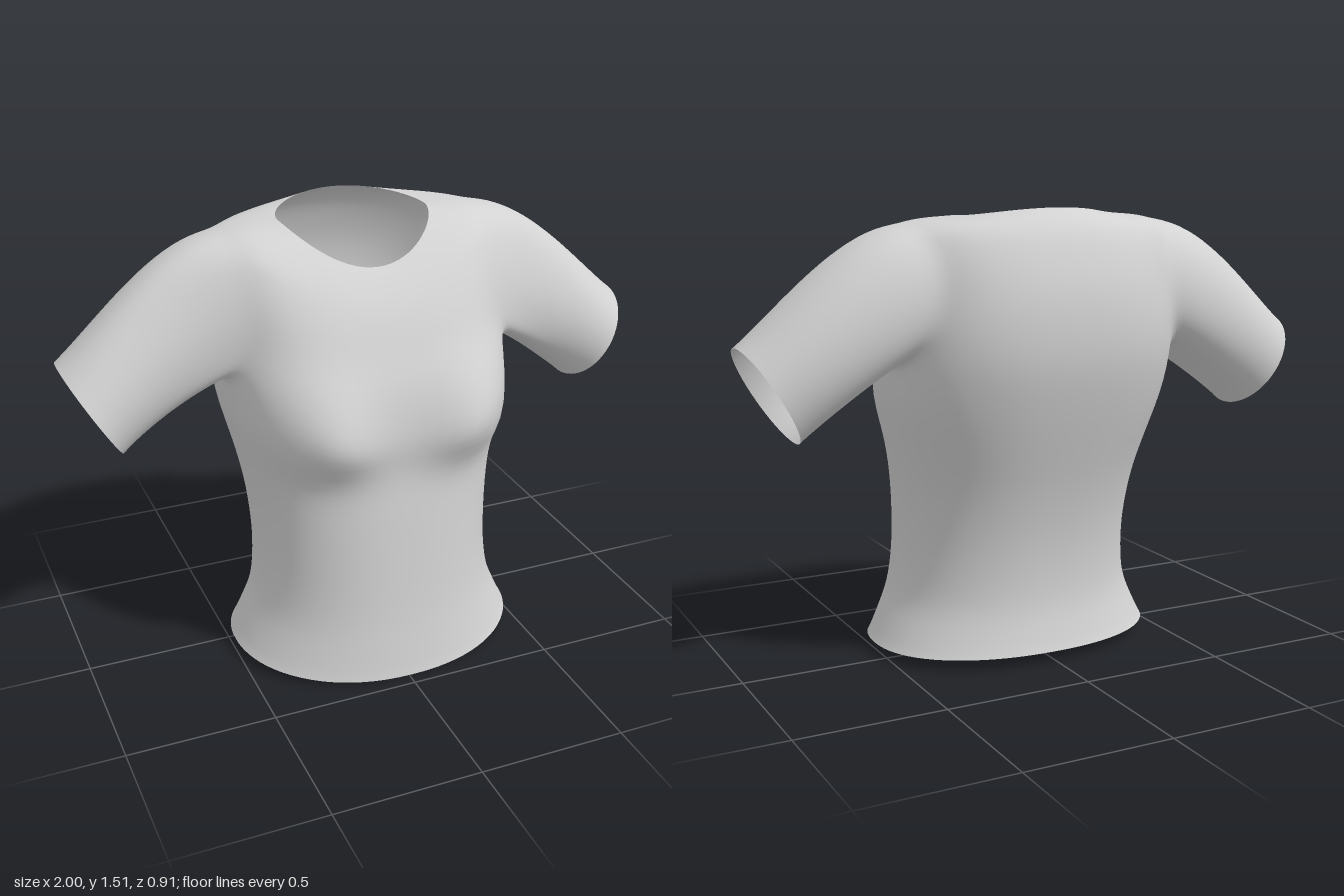
import * as THREE from 'three';
import { mergeVertices } from 'three/addons/utils/BufferGeometryUtils.js';

// Torso rings, hem to neckline:
// half width, z front, z side, z back, y front, y side, y back, roundness
const RINGS = [
  [0.505, 0.455, 0.07, -0.30, 0.00, 0.035, 0.04, 0.92],
  [0.472, 0.44, 0.07, -0.28, 0.09, 0.105, 0.11, 0.92],
  [0.430, 0.422, 0.07, -0.262, 0.20, 0.20, 0.20, 0.90],
  [0.412, 0.408, 0.06, -0.262, 0.32, 0.32, 0.32, 0.88],
  [0.410, 0.395, 0.05, -0.278, 0.45, 0.45, 0.45, 0.86],
  [0.422, 0.38, 0.03, -0.315, 0.60, 0.60, 0.60, 0.84],
  [0.450, 0.36, 0.00, -0.365, 0.75, 0.75, 0.75, 0.80],
  [0.482, 0.35, -0.03, -0.41, 0.88, 0.89, 0.89, 0.77],
  [0.490, 0.335, -0.06, -0.445, 1.02, 1.03, 1.03, 0.75],
  [0.488, 0.295, -0.08, -0.452, 1.13, 1.15, 1.16, 0.76],
  [0.482, 0.265, -0.08, -0.44, 1.20, 1.29, 1.27, 0.80],
  [0.475, 0.23, -0.09, -0.412, 1.26, 1.40, 1.36, 0.85],
  [0.445, 0.195, -0.09, -0.378, 1.305, 1.468, 1.435, 0.90],
  [0.350, 0.163, -0.085, -0.335, 1.34, 1.484, 1.485, 0.95],
  [0.258, 0.135, -0.08, -0.29, 1.365, 1.488, 1.515, 1.00],
];
const COLS = 40, STEP = 4, ROWS = (RINGS.length - 1) * STEP;
// Armhole in grid cells: centre column and row, half size
const HOLE = { i: 20, j: 40, r: 8 };

// Smooth interpolation between the rings
function ringAt(v) {
  const n = RINGS.length - 1;
  const k = Math.max(0, Math.min(n - 1, Math.floor(v))), t = v - k;
  const [a, b, c, d] = [-1, 0, 1, 2].map((o) => RINGS[Math.max(0, Math.min(n, k + o))]);
  return b.map((_, q) => b[q] + 0.5 * t * (c[q] - a[q]
    + t * (2 * a[q] - 5 * b[q] + 4 * c[q] - d[q] + t * (3 * (b[q] - c[q]) + d[q] - a[q]))));
}

// Rounds the square armhole in grid space into a disc, fading out around it
function roundHole(i, j) {
  const p = [(i - HOLE.i) / HOLE.r, (j - HOLE.j) / HOLE.r];
  const m = Math.max(Math.abs(p[0]), Math.abs(p[1])), r = Math.hypot(...p);
  if (r === 0) return p;
  const w = 1 - THREE.MathUtils.smoothstep(m, 1, 2);
  return p.map((c) => c * (1 + w * (m / r - 1)));
}

// Point of the left half of the torso
function torsoPoint(i, j) {
  const [pu, pv] = roundHole(i, j);
  const a = (pu * HOLE.r / COLS) * Math.PI;
  const [hw, zf, zs, zb, yf, ys, yb, e] = ringAt((HOLE.j + pv * HOLE.r) / STEP);
  const s = Math.abs(Math.sin(a)), front = a > 0;
  const x = hw * Math.pow(Math.max(0, Math.cos(a)), e);
  const y = ys + ((front ? yf : yb) - ys) * s * s;
  let z = zs + ((front ? zf : zb) - zs) * Math.pow(s, e);
  if (front) { // bust: full below, easing off upwards
    const dy = (y - 0.85) / (y < 0.85 ? 0.085 : 0.2), dx = (x - 0.27) / 0.17;
    z += 0.11 * Math.exp(-dx * dx - dy * dy) * Math.min(1, s * 2);
  }
  return new THREE.Vector3(x, y, z);
}

// Armhole boundary as a closed loop of grid cells
const loop = [];
for (let side = 0; side < 4; side++) {
  for (let k = -HOLE.r; k < HOLE.r; k++) {
    const [u, v] = [[HOLE.r, k], [-k, HOLE.r], [-HOLE.r, -k], [k, -HOLE.r]][side];
    loop.push([HOLE.i + u, HOLE.j + v]);
  }
}
const SLEEVE_ROWS = 20;

// Sleeve: each armhole point runs along a Hermite curve to the tilted cuff
function sleevePoint(k, row) {
  const [i, j] = loop[k % loop.length];
  const [pu, pv] = roundHole(i, j);
  const p0 = torsoPoint(i, j);
  const p1 = new THREE.Vector3(0.91 + 0.09 * pv, 0.945 + 0.155 * pv, -0.07 + 0.195 * pu);
  const h = (pv + 1) / 2;
  const t0 = new THREE.Vector3(0.35 + 0.25 * h, -0.2 + 0.2 * h, pu > 0 ? -0.3 * pu : 0.05 * pu);
  const t1 = new THREE.Vector3(0.3 + 0.2 * h, -0.24 - 0.18 * h, 0.1 * Math.abs(pu));
  const t = row / SLEEVE_ROWS, t2 = t * t, t3 = t2 * t;
  return p0.multiplyScalar(2 * t3 - 3 * t2 + 1).addScaledVector(t0, t3 - 2 * t2 + t)
    .addScaledVector(p1, 3 * t2 - 2 * t3).addScaledVector(t1, t3 - t2);
}

// Relaxes the welded mesh, leaving the hem, neckline and cuffs in place
function relax(geometry, passes) {
  const pos = geometry.attributes.position, idx = geometry.index.array;
  const near = Array.from({ length: pos.count }, () => new Map());
  const link = (a, b) => near[a].set(b, (near[a].get(b) || 0) + 1);
  for (let f = 0; f < idx.length; f += 3) {
    for (let c = 0; c < 3; c++) {
      const a = idx[f + c], b = idx[f + (c + 1) % 3];
      link(a, b);
      link(b, a);
    }
  }
  const fixed = near.map((m) => [...m.values()].includes(1));
  const p = new THREE.Vector3(), q = new THREE.Vector3();
  for (let n = 0; n < passes; n++) {
    const old = pos.clone();
    near.forEach((m, a) => {
      if (fixed[a]) return;
      p.set(0, 0, 0);
      for (const b of m.keys()) p.add(q.fromBufferAttribute(old, b));
      q.fromBufferAttribute(old, a).lerp(p.divideScalar(m.size), 0.5);
      pos.setXYZ(a, q.x, q.y, q.z);
    });
  }
}

export function createModel() {
  const verts = [], faces = [];

  // Adds a grid of quads, mirrored when sx is -1
  function addGrid(point, ni, nj, sx, skip = () => false) {
    const base = verts.length / 3;
    for (let i = 0; i <= ni; i++) {
      for (let j = 0; j <= nj; j++) {
        const p = point(i, j);
        verts.push(p.x * sx, p.y, p.z);
      }
    }
    for (let i = 0; i < ni; i++) {
      for (let j = 0; j < nj; j++) {
        if (skip(i, j)) continue;
        const a = base + i * (nj + 1) + j, b = a + 1, c = a + nj + 1, d = c + 1;
        if (sx > 0) faces.push(a, b, c, b, d, c);
        else faces.push(a, c, b, b, c, d);
      }
    }
  }

  const inHole = (i, j) => i >= HOLE.i - HOLE.r && i < HOLE.i + HOLE.r
    && j >= HOLE.j - HOLE.r && j < HOLE.j + HOLE.r;
  for (const sx of [1, -1]) {
    addGrid(torsoPoint, COLS, ROWS, sx, inHole);
    addGrid(sleevePoint, loop.length, SLEEVE_ROWS, sx);
  }

  let geometry = new THREE.BufferGeometry();
  geometry.setAttribute('position', new THREE.Float32BufferAttribute(verts, 3));
  geometry.setIndex(faces);
  geometry = mergeVertices(geometry, 1e-4);
  relax(geometry, 4);

  // The body sits slightly to its left between the cuffs
  const pos = geometry.attributes.position;
  for (let i = 0; i < pos.count; i++) {
    const x = pos.getX(i);
    pos.setX(i, x + 0.012 * (1 - x * x));
  }
  geometry.computeVertexNormals();

  const fabric = new THREE.MeshStandardMaterial({ color: 0xd2d2d2, side: THREE.DoubleSide });
  fabric.name = 'light grey fabric';
  const shirt = new THREE.Mesh(geometry, fabric);
  shirt.name = 'shirt';

  const group = new THREE.Group();
  group.name = 'shortSleevedTop';
  group.add(shirt);
  return group;
}
